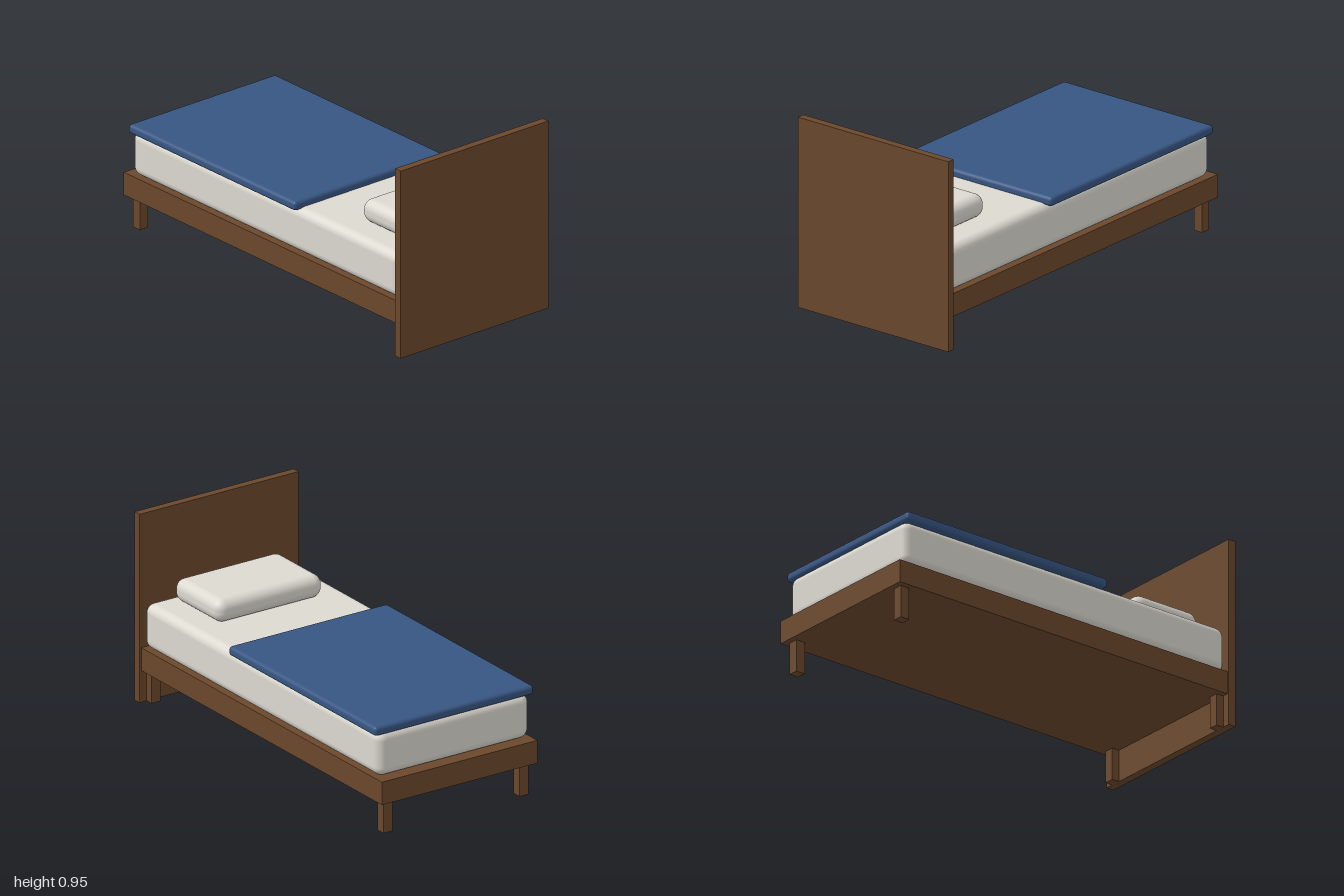
import * as THREE from 'three';
import { RoundedBoxGeometry } from 'three/addons/geometries/RoundedBoxGeometry.js';

export function createModel() {
  const bed = new THREE.Group();
  bed.name = 'bed';

  const material = (name, color) => {
    const m = new THREE.MeshStandardMaterial({ color });
    m.name = name;
    return m;
  };
  const wood = material('brown wood', 0x6b482c);
  const linen = material('off-white linen', 0xdcd9d0);
  const cloth = material('blue cloth', 0x375683);

  // Adds a box spanning min to max, with rounded edges when a radius is given.
  const addBox = (name, mat, min, max, radius = 0) => {
    const size = max.map((v, i) => v - min[i]);
    const geometry = radius
      ? new RoundedBoxGeometry(...size, 5, radius)
      : new THREE.BoxGeometry(...size);
    const mesh = new THREE.Mesh(geometry, mat);
    mesh.name = name;
    mesh.position.set(...max.map((v, i) => (v + min[i]) / 2));
    bed.add(mesh);
  };

  // Wooden base and headboard
  addBox('frame', wood, [-0.44, 0.16, -1], [0.44, 0.275, 0.96]);
  addBox('headboard', wood, [-0.45, 0, 0.96], [0.45, 0.95, 1]);

  // Four square legs, inset from the corners
  for (const x of [-0.385, 0.385]) {
    for (const z of [-0.945, 0.945]) {
      const name = (z > 0 ? 'head' : 'foot') + (x > 0 ? 'LeftLeg' : 'RightLeg');
      addBox(name, wood, [x - 0.025, 0, z - 0.025], [x + 0.025, 0.16, z + 0.025]);
    }
  }

  // Soft bedding
  addBox('mattress', linen, [-0.43, 0.275, -0.96], [0.43, 0.5, 0.96], 0.045);
  addBox('pillow', linen, [-0.3, 0.498, 0.53], [0.3, 0.613, 0.91], 0.05);
  addBox('blanket', cloth, [-0.45, 0.489, -0.96], [0.45, 0.536, 0.24], 0.018);

  return bed;
}
